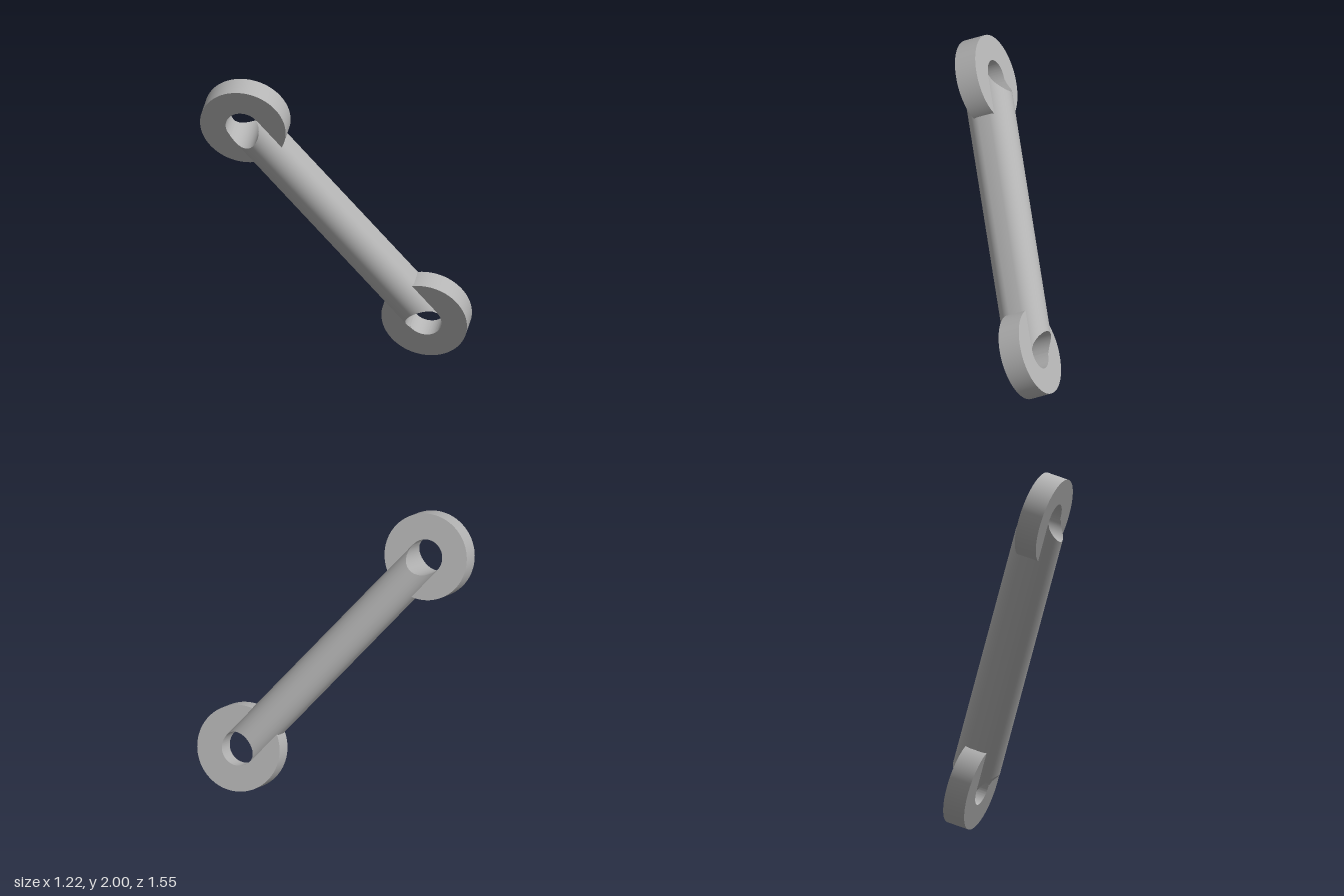
import * as THREE from 'three';
import { toCreasedNormals } from 'three/addons/utils/BufferGeometryUtils.js';

const RING_R = 0.29, HOLE_R = 0.117, RING_T = 0.153;
const ROD_R = 0.126, ROD_FLAT = 0.035; // rod section: half circles spread apart along z

// how far the rod end is cut back by the ring's bore at offset x
const boreCut = (x) => Math.sqrt(Math.max(0, HOLE_R ** 2 - x ** 2));

// ring with a through bore, axis along z
function ringGeometry() {
  const shape = new THREE.Shape().absarc(0, 0, RING_R, 0, Math.PI * 2, false);
  shape.holes.push(new THREE.Path().absarc(0, 0, HOLE_R, 0, Math.PI * 2, true));
  const geo = new THREE.ExtrudeGeometry(shape, { depth: RING_T, bevelEnabled: false, curveSegments: 64 });
  geo.translate(0, 0, -RING_T / 2);
  return toCreasedNormals(geo, 0.6);
}

// oval rod along y, both ends following the bores
function rodGeometry(length) {
  const geo = new THREE.CylinderGeometry(ROD_R, ROD_R, length, 96, 1, true);
  const p = geo.attributes.position;
  for (let i = 0; i < p.count; i++) {
    const x = p.getX(i), y = p.getY(i), z = p.getZ(i);
    const spread = Math.abs(z) < 1e-6 ? 0 : Math.sign(z) * ROD_FLAT;
    p.setXYZ(i, x, Math.sign(y) * (length / 2 - boreCut(x)), z + spread);
  }
  return geo;
}

// concave wall closing one rod end
function rodEndGeometry(length) {
  const geo = new THREE.PlaneGeometry(2, 2, 48, 1);
  const p = geo.attributes.position;
  for (let i = 0; i < p.count; i++) {
    const a = p.getX(i) * Math.PI / 2, side = p.getY(i);
    const x = ROD_R * Math.sin(a);
    p.setXYZ(i, x, length / 2 - boreCut(x), -side * (ROD_R * Math.cos(a) + ROD_FLAT));
  }
  geo.computeVertexNormals();
  return geo;
}

export function createModel() {
  const model = new THREE.Group();
  model.name = 'connectingLink';
  const grey = new THREE.MeshStandardMaterial({ color: 0xb4b4b4 });
  grey.name = 'grey';

  // the link leans: y runs along the rod, z along the ring axes
  const upper = new THREE.Vector3(-0.315, 0.704, 0.54);
  const length = upper.length() * 2;
  const yAxis = upper.clone().normalize();
  const zAxis = new THREE.Vector3(0.456, -0.409, 0.79);
  zAxis.addScaledVector(yAxis, -zAxis.dot(yAxis)).normalize();
  const xAxis = new THREE.Vector3().crossVectors(yAxis, zAxis);
  const link = new THREE.Group();
  link.name = 'link';
  link.quaternion.setFromRotationMatrix(new THREE.Matrix4().makeBasis(xAxis, yAxis, zAxis));
  link.position.y = 1;
  model.add(link);

  const add = (name, geo) => {
    const mesh = new THREE.Mesh(geo, grey);
    mesh.name = name;
    link.add(mesh);
    return mesh;
  };

  add('rod', rodGeometry(length));
  for (const [name, s] of [['upper', 1], ['lower', -1]]) {
    add(name + 'Ring', ringGeometry()).position.y = s * length / 2;
    add(name + 'RodEnd', rodEndGeometry(length)).rotation.z = s > 0 ? 0 : Math.PI;
  }
  return model;
}
